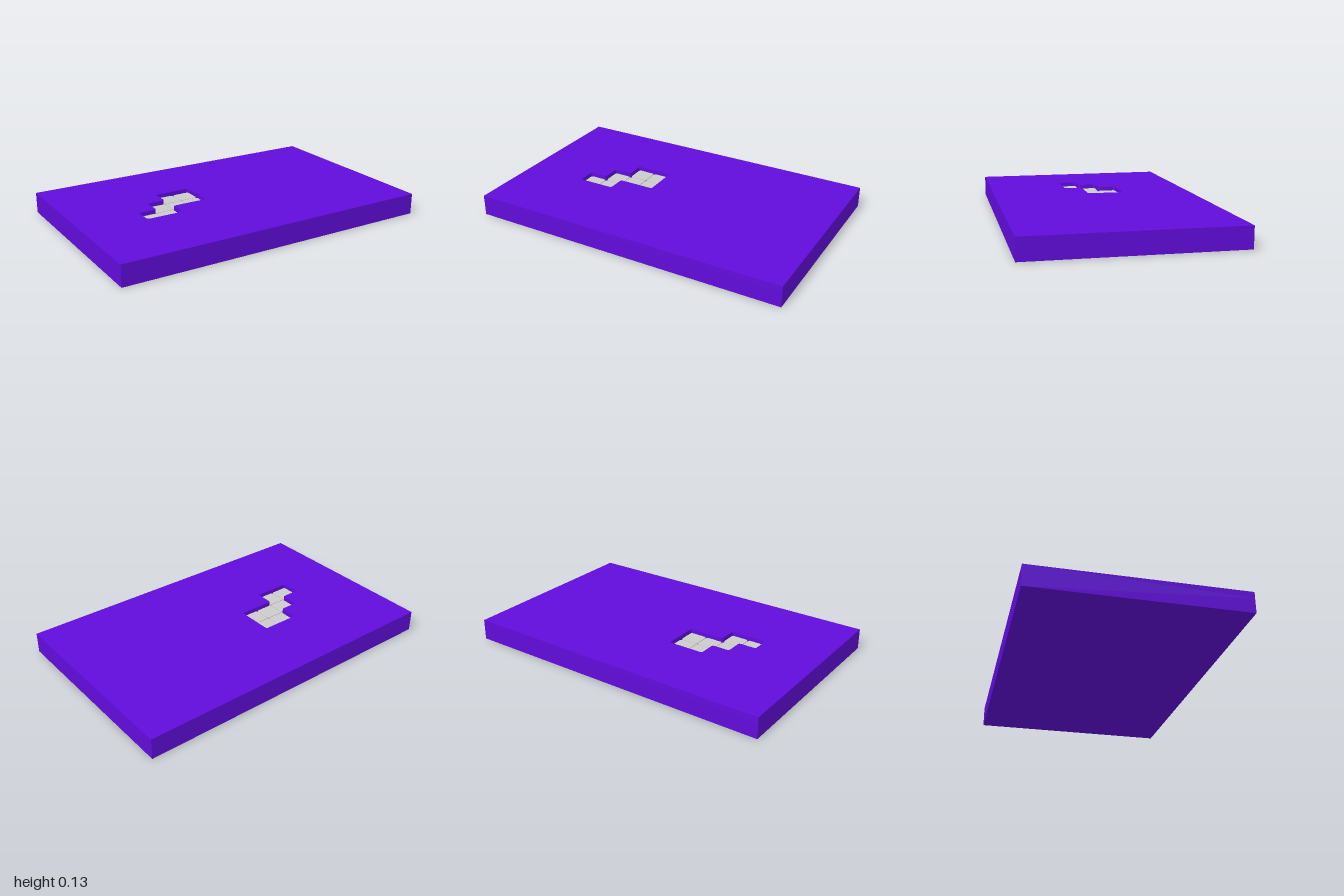
import * as THREE from 'three';

const H = 0.13, HALF_Z = 0.63;      // slab height and half depth
const PITCH = 0.1145, X0 = -0.604, Z0 = -0.2; // tile grid
const FLOOR = 0.09, TILE_TOP = 0.105;

// Closed path through the points, every corner rounded by radius r
function roundedPath(points, r, path) {
  const pts = points.map(([x, y]) => new THREE.Vector2(x, y));
  const toward = (a, b) => b.clone().sub(a).setLength(r).add(a);
  pts.forEach((p, i) => {
    const from = toward(p, pts[(i + pts.length - 1) % pts.length]);
    const to = toward(p, pts[(i + 1) % pts.length]);
    if (i === 0) path.moveTo(from.x, from.y);
    else path.lineTo(from.x, from.y);
    path.quadraticCurveTo(p.x, p.y, to.x, to.y);
  });
  path.closePath();
  return path;
}

// Extrude a plan shape (x, -z) upward from y
function extrudeUp(shape, y, height) {
  const g = new THREE.ExtrudeGeometry(shape, { depth: height, bevelEnabled: false, curveSegments: 5 });
  return g.rotateX(-Math.PI / 2).translate(0, y, 0);
}

export function createModel() {
  const model = new THREE.Group();
  const purple = new THREE.MeshStandardMaterial({ color: 0x610cdb });
  const grey = new THREE.MeshStandardMaterial({ color: 0xdcd8dc });
  const add = (name, geometry, material) => {
    const mesh = new THREE.Mesh(geometry, material);
    mesh.name = name;
    model.add(mesh);
  };

  // Solid lower part of the slab, which is also the pocket floor
  add('slabBase', new THREE.BoxGeometry(2, FLOOR, HALF_Z * 2).translate(0, FLOOR / 2, 0), purple);

  // Upper layer with a stepped pocket cut through it
  const plate = new THREE.Shape([[-1, -HALF_Z], [1, -HALF_Z], [1, HALF_Z], [-1, HALF_Z]]
    .map(([x, y]) => new THREE.Vector2(x, y)));
  const outline = [[2, 0], [4, 0], [4, 2], [2, 2], [2, 3], [0, 3], [0, 2], [1, 2], [1, 1], [2, 1]]
    .map(([c, r]) => [X0 + c * PITCH, -(Z0 + r * PITCH)]);
  plate.holes.push(roundedPath(outline, 0.016, new THREE.Path()));
  add('slabTop', extrudeUp(plate, FLOOR, H - FLOOR), purple);

  // Rounded tiles sunk in the pocket
  const half = PITCH / 2 - 0.002;
  const square = [[-half, -half], [half, -half], [half, half], [-half, half]];
  const tile = extrudeUp(roundedPath(square, 0.016, new THREE.Shape()), FLOOR, TILE_TOP - FLOOR);
  for (const [c, r] of [[2, 0], [3, 0], [1, 1], [2, 1], [3, 1], [0, 2], [1, 2]]) {
    add('tile', tile.clone().translate(X0 + (c + 0.5) * PITCH, 0, Z0 + (r + 0.5) * PITCH), grey);
  }
  return model;
}
